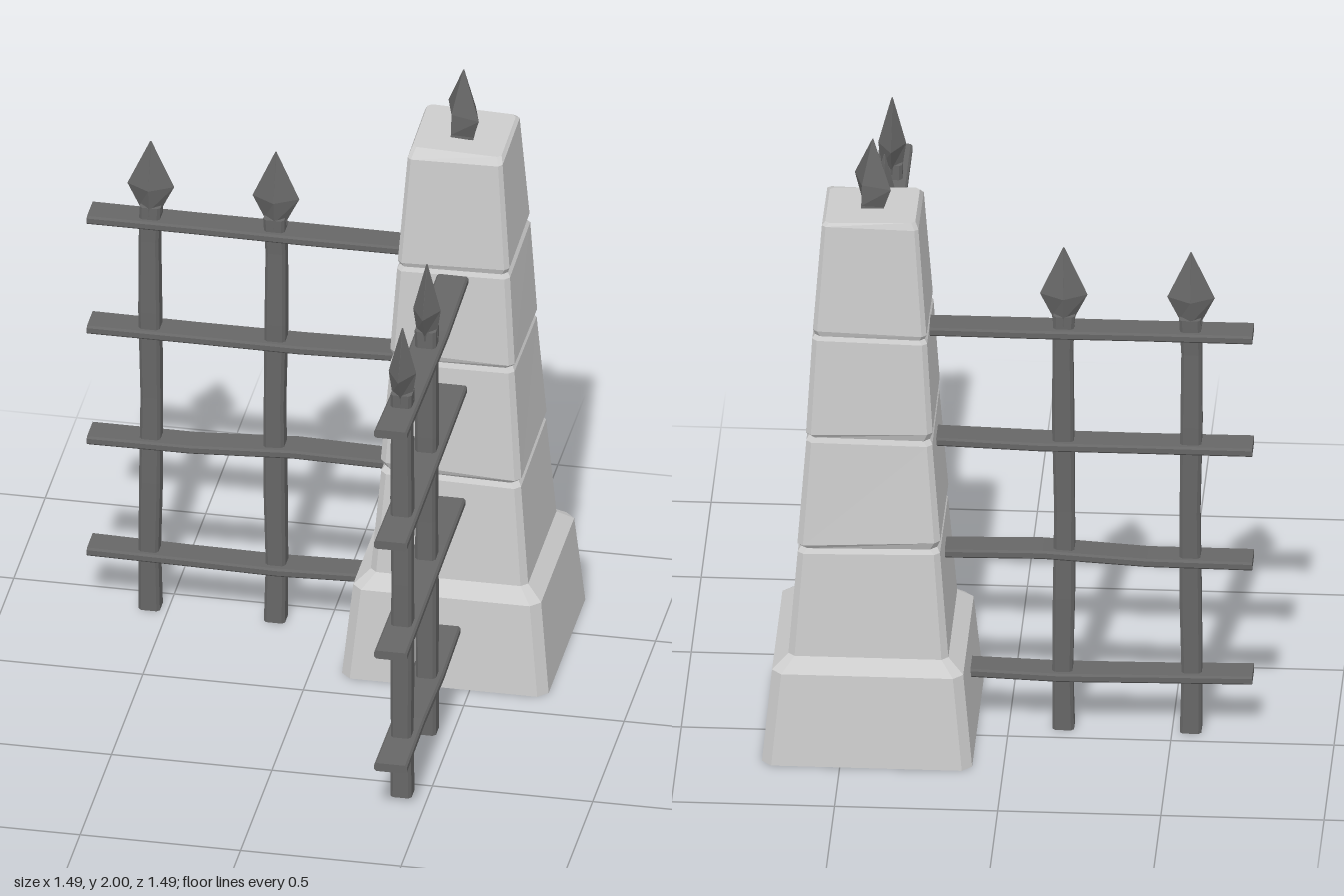
import * as THREE from 'three';

const V = (x, y, z) => new THREE.Vector3(x, y, z);
const stone = new THREE.MeshStandardMaterial({ color: 0xcccccc, flatShading: true });
const iron = new THREE.MeshStandardMaterial({ color: 0x666666, flatShading: true });

// Closed, flat-shaded skin over cross-sections that all have the same number of points
function loft(rings) {
  const pos = [];
  const tri = (...pts) => pts.forEach((p) => pos.push(p.x, p.y, p.z));
  const n = rings[0].length;
  for (let i = 0; i < rings.length - 1; i++) {
    for (let j = 0; j < n; j++) {
      const k = (j + 1) % n;
      const [a, b, c, d] = [rings[i][j], rings[i][k], rings[i + 1][k], rings[i + 1][j]];
      tri(a, b, c);
      tri(a, c, d);
    }
  }
  const first = rings[0], last = rings[rings.length - 1];
  for (let j = 1; j < n - 1; j++) {
    tri(first[0], first[j + 1], first[j]);
    tri(last[0], last[j], last[j + 1]);
  }
  const geo = new THREE.BufferGeometry();
  geo.setAttribute('position', new THREE.Float32BufferAttribute(pos, 3));
  geo.computeVertexNormals();
  return geo;
}

// Counter-clockwise rectangle with cut corners
function cutRect(w, h, c) {
  return [[w, -h + c], [w, h - c], [w - c, h], [-w + c, h], [-w, h - c], [-w, -h + c], [-w + c, -h], [w - c, -h]];
}

function add(parent, name, geo, material) {
  const mesh = new THREE.Mesh(geo, material);
  mesh.name = name;
  parent.add(mesh);
  return mesh;
}

// Four-sided spearhead, flattened along x
function spearhead(y, wide, thin, neck, heights) {
  const ring = (h, a, b) => [V(b, y + h, 0), V(0, y + h, -a), V(-b, y + h, 0), V(0, y + h, a)];
  return loft([
    ring(0, neck, neck),
    ring(heights[0], neck * 1.05, neck * 0.95),
    ring(heights[1], wide, thin),
    ring(heights[2], 0.002, 0.002),
  ]);
}

// Tapered pillar of stacked blocks: y, half width, tilt along x, tilt along z, corner cut
function pillarGeometry() {
  const sections = [
    [0, 0.322, 0, 0, 0.03],
    [0.30, 0.293, 0, 0, 0.03],
    [0.34, 0.245, 0, 0, 0.02],
    [0.675, 0.218, -0.02, -0.03, 0.018],
    [0.69, 0.208, -0.02, -0.03, 0.02],
    [0.71, 0.219, -0.05, -0.03, 0.018],
    [1.05, 0.193, 0.01, 0.02, 0.016],
    [1.065, 0.185, 0.01, 0.02, 0.018],
    [1.085, 0.194, -0.03, 0.02, 0.016],
    [1.38, 0.176, 0.02, -0.04, 0.015],
    [1.393, 0.168, 0.02, -0.04, 0.016],
    [1.41, 0.174, 0.03, -0.04, 0.014],
    [1.76, 0.148, 0.02, -0.04, 0.012],
    [1.778, 0.138, -0.03, -0.03, 0.012],
  ];
  return loft(sections.map(([y, r, tx, tz, c], i) =>
    cutRect(r, r, c).map(([u, v]) => {
      const x = u, z = -v;
      // the top leans back along its front edge
      const zTop = i === sections.length - 1 && z > 0 ? z - 0.025 : z;
      return V(x, y + tx * x + tz * z, zTop);
    })));
}

// Upright bar with a slight sway
function postGeometry(sway) {
  const levels = [0, 0.2, 0.45, 0.75, 1.05, 1.3, 1.42];
  return loft(levels.map((y, i) => {
    const r = 0.033 - 0.002 * (i % 2);
    const shift = sway * Math.sin(i * 1.7);
    return cutRect(r, r, 0.009).map(([u, v]) => V(u + shift * 0.5, y, -v + shift));
  }));
}

// Flat rail bent through a few heights, running outward along +z
function railGeometry(start, heights) {
  const end = 1.165;
  return loft(heights.map((y, i) => {
    const z = start + (end - start) * (i / (heights.length - 1));
    return cutRect(0.049 + 0.002 * (i % 2), 0.014, 0.006).map(([u, v]) => V(u, y + v, z));
  }));
}

function fence(name, rails, sways) {
  const group = new THREE.Group();
  group.name = name;
  const starts = [0.28, 0.2, 0.175, 0.165];
  rails.forEach((heights, i) => add(group, 'rail', railGeometry(starts[i], heights), iron));
  [0.585, 0.975].forEach((z, i) => {
    add(group, 'post', postGeometry(sways[i]), iron).position.z = z;
    const head = spearhead(1.39, 0.073, 0.043, 0.034, [0.02, 0.095, i ? 0.25 : 0.255]);
    add(group, 'spearhead', head, iron).position.z = z;
  });
  return group;
}

export function createModel() {
  const model = new THREE.Group();
  model.name = 'cornerPillarWithFences';

  // Everything hangs off the pillar's axis
  const corner = new THREE.Group();
  corner.name = 'corner';
  corner.position.set(0.418, 0, -0.418);
  model.add(corner);

  add(corner, 'pillar', pillarGeometry(), stone);
  const finial = add(corner, 'finial', spearhead(1.755, 0.083, 0.045, 0.05, [0.03, 0.1, 0.245]), iron);
  finial.rotation.y = Math.PI / 4;

  // Rail heights from the pillar outward
  corner.add(fence('frontFence', [
    [0.197, 0.186, 0.195, 0.193],
    [0.603, 0.606, 0.592, 0.59],
    [0.987, 0.988, 0.977, 0.978],
    [1.36, 1.35, 1.352, 1.37],
  ], [0.003, -0.003]));

  const side = fence('sideFence', [
    [0.195, 0.186, 0.19, 0.195],
    [0.602, 0.608, 0.589, 0.588],
    [0.987, 0.978, 0.978, 0.979],
    [1.364, 1.364, 1.365, 1.366],
  ], [-0.003, 0.003]);
  side.rotation.y = -Math.PI / 2;
  corner.add(side);

  return model;
}
